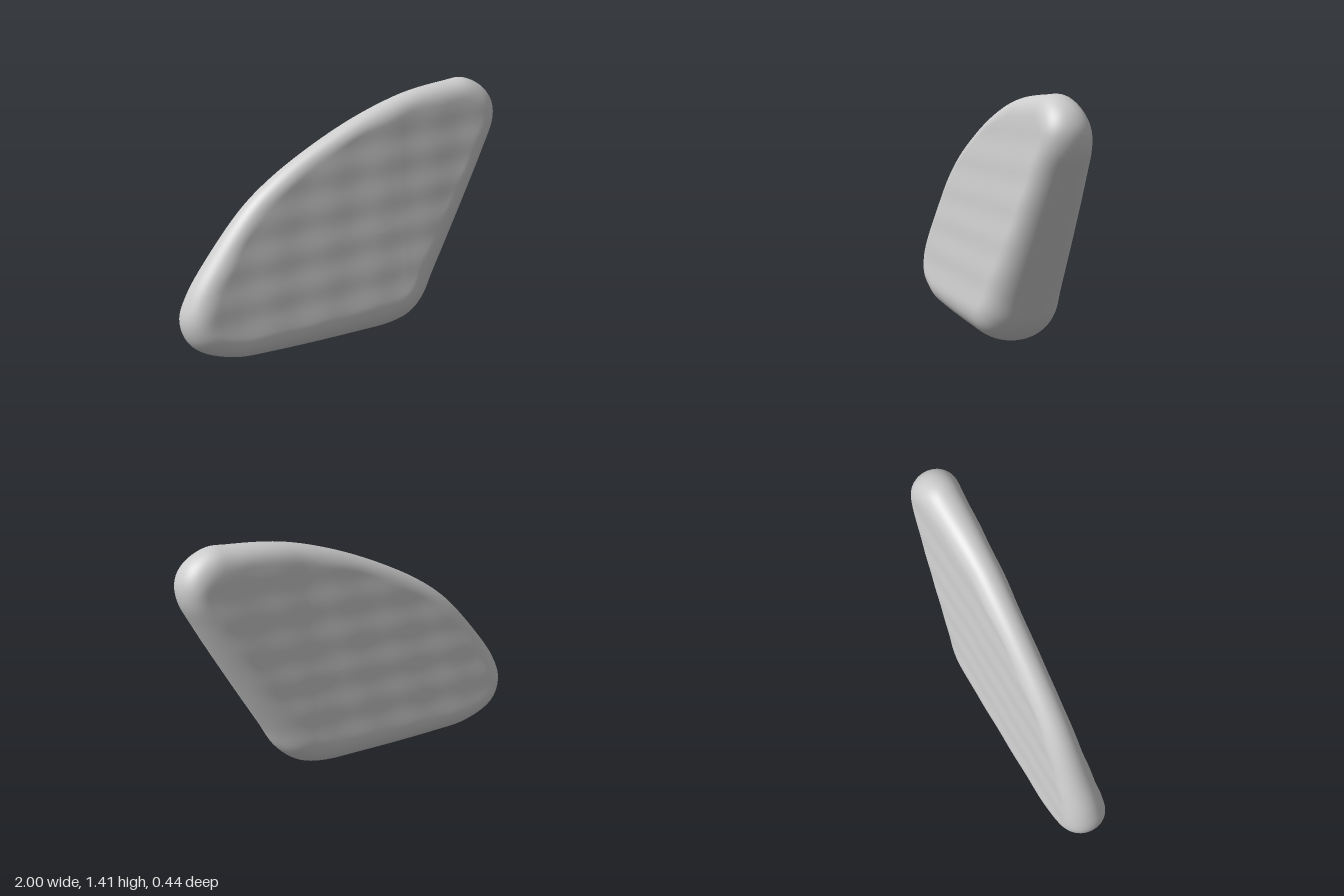
import * as THREE from 'three';

const SEG = 200, RINGS = 48;
const clamp = THREE.MathUtils.clamp;

// Side outline, counter-clockwise from the rounded left end
const outline = new THREE.CatmullRomCurve3([
  [-1, 0.27], [-0.97, 0.15], [-0.9, 0.08], [-0.72, 0.015], [-0.5, 0.004], [0, 0.008], [0.25, 0.02],
  [0.38, 0.06], [0.48, 0.15], [0.56, 0.3], [0.72, 0.6], [0.92, 0.99], [0.99, 1.15], [0.99, 1.26],
  [0.93, 1.35], [0.81, 1.41], [0.7, 1.405], [0.4, 1.365], [0.1, 1.27], [-0.2, 1.13], [-0.45, 0.98],
  [-0.62, 0.84], [-0.82, 0.6], [-0.95, 0.41],
].map(([x, y]) => new THREE.Vector3(x, y, 0)), true);

// Shortest distance from a point to the outline
function edgeDistance(x, y, pts) {
  let best = Infinity;
  for (let i = 0; i < SEG; i++) {
    const a = pts[i], b = pts[(i + 1) % SEG];
    const dx = b.x - a.x, dy = b.y - a.y;
    const t = clamp(((x - a.x) * dx + (y - a.y) * dy) / (dx * dx + dy * dy), 0, 1);
    best = Math.min(best, Math.hypot(x - a.x - t * dx, y - a.y - t * dy));
  }
  return best;
}

// Thickest at the lower right corner, thinning evenly to the tip and the arched edge
const halfThickness = (x, y) => 0.228 + 0.07 * (x - 0.35) - 0.129 * (y - 0.2);
// The left end leans slightly to the back
const midPlane = (x) => -0.035 * clamp((0.3 - x) / 1.1, 0, 1);
// Faint uneven wrinkles on the broad faces
const wrinkle = (x, y, side) =>
  0.003 * Math.sin(9 * x + 14 * y + side) * Math.sin(17 * y - 11 * x + 2 * side);

function stoneGeometry() {
  const pts = outline.getSpacedPoints(SEG).slice(0, SEG);
  const cx = 0.15, cy = 0.62;
  const pos = [], index = [];
  // Rings run from the front centre, over the rim, to the back centre
  for (let r = 0; r <= 2 * RINGS; r++) {
    const side = r <= RINGS ? 1 : -1;
    const t = 1 - Math.abs(r - RINGS) / RINGS;
    const scale = 1 - (1 - t) ** 2;
    for (const p of pts) {
      const x = cx + (p.x - cx) * scale, y = cy + (p.y - cy) * scale;
      const h = halfThickness(x, y);
      const d = r === RINGS ? 0 : edgeDistance(x, y, pts);
      const u = clamp(d / (h * 0.95), 0, 1);
      const z = h * Math.sqrt(1 - (1 - u) ** 2.2);
      pos.push(x, y, midPlane(x) + side * (z + wrinkle(x, y, side) * u * u));
    }
  }
  for (let r = 0; r < 2 * RINGS; r++) {
    for (let i = 0; i < SEG; i++) {
      const j = (i + 1) % SEG;
      const a = r * SEG + i, b = r * SEG + j, c = a + SEG, d = b + SEG;
      if (r > 0) index.push(a, c, b);
      if (r < 2 * RINGS - 1) index.push(b, c, d);
      else index.push(a, c, b);
      if (r === 0) index.push(a, c, d);
    }
  }
  const geo = new THREE.BufferGeometry();
  geo.setAttribute('position', new THREE.Float32BufferAttribute(pos, 3));
  geo.setIndex(index);
  geo.computeVertexNormals();
  // Centre points share one normal per face
  const normal = geo.attributes.normal;
  for (let i = 0; i < SEG; i++) {
    normal.copyAt(i, normal, SEG + i);
    normal.copyAt(2 * RINGS * SEG + i, normal, (2 * RINGS - 1) * SEG + i);
  }
  return geo;
}

export function createModel() {
  const group = new THREE.Group();
  const stone = new THREE.Mesh(stoneGeometry(), new THREE.MeshStandardMaterial({ color: 0xcccccc }));
  stone.name = 'wedgeStone';
  group.add(stone);
  return group;
}
